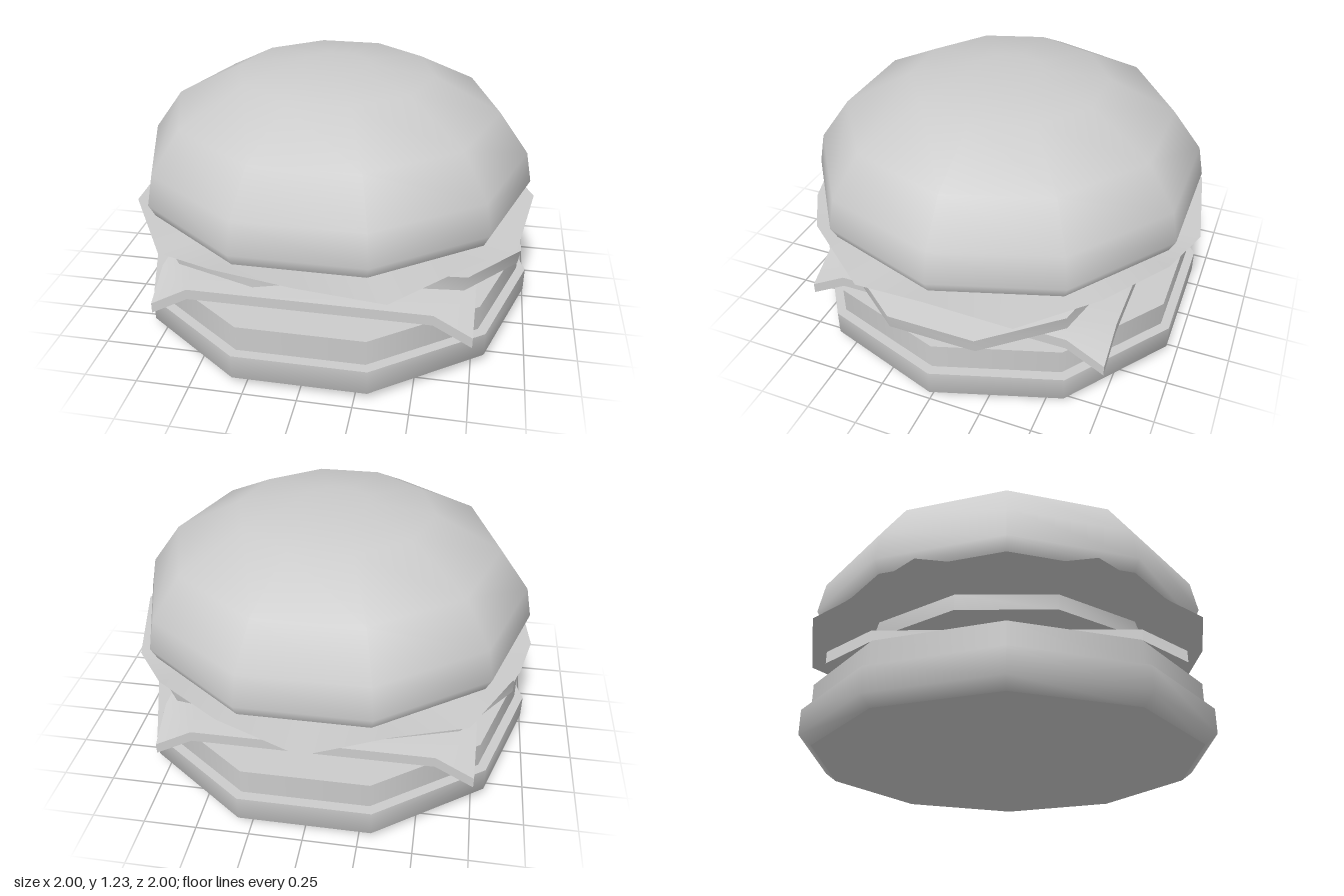
import * as THREE from 'three';
import { mergeGeometries, toCreasedNormals } from 'three/addons/utils/BufferGeometryUtils.js';

const grey = new THREE.MeshStandardMaterial({ color: 0xcccccc });
const greyThin = new THREE.MeshStandardMaterial({ color: 0xcccccc, side: THREE.DoubleSide });

function part(name, geometry, material = grey) {
  const mesh = new THREE.Mesh(geometry, material);
  mesh.name = name;
  return mesh;
}

// Ten-sided turned solid; each profile is smooth in itself, with a hard edge between profiles
function turned(profiles, start = Math.PI / 2) {
  return mergeGeometries(profiles.map((profile) =>
    new THREE.LatheGeometry(profile.map(([r, y]) => new THREE.Vector2(r, y)), 10, start)));
}

function slab(side, start) {
  const first = side[0], last = side[side.length - 1];
  return turned([[[0, first[1]], first], side, [last, [0, last[1]]]], start);
}

// Tomato slice with flat edges to the left and right; optionally bent down past its middle
function tomato(x, y, height, bend) {
  const geo = slab([[0.685, -height], [0.685, 0]], 0);
  const pos = geo.attributes.position;
  for (let i = 0; i < pos.count; i++) {
    const px = pos.getX(i), py = pos.getY(i);
    if (px > 0.01) {
      pos.setX(i, px * Math.cos(bend) + py * Math.sin(bend));
      pos.setY(i, py * Math.cos(bend) - px * Math.sin(bend));
    }
  }
  return toCreasedNormals(geo.translate(x, y, 0), 0.7);
}

function extrudeUp(points, y, height) {
  const shape = new THREE.Shape(points.map(([x, z]) => new THREE.Vector2(x, z)));
  return new THREE.ExtrudeGeometry(shape, { depth: height, bevelEnabled: false })
    .rotateX(-Math.PI / 2).translate(0, y, 0);
}

// Square cheese slice: a flat middle and four corners folded down
function cheese() {
  const a = 0.75, b = 0.57, y = 0.302, h = 0.052;
  const pieces = [extrudeUp([[a, -b], [a, b], [b, a], [-b, a], [-a, b], [-a, -b], [-b, -a], [b, -a]], y, h)];
  for (const sx of [-1, 1]) {
    for (const sz of [-1, 1]) {
      const corner = extrudeUp([[sx * a, sz * b], [sx * a, sz * a], [sx * b, sz * a]], y, h);
      const pos = corner.attributes.position;
      for (let i = 0; i < pos.count; i++) {
        if (Math.abs(pos.getX(i)) + Math.abs(pos.getZ(i)) > 1.4) pos.setY(i, pos.getY(i) - 0.1);
      }
      pieces.push(corner);
    }
  }
  return toCreasedNormals(mergeGeometries(pieces), 0.7);
}

// Thin leaf with a zigzag rim
function lettuce() {
  const raised = [0, 2, 4, 5, 7, 9, 11, 13, 14];
  const positions = [0, 0.515, 0], index = [];
  for (let k = 0; k < 16; k++) {
    const angle = (k * Math.PI) / 8;
    positions.push(Math.cos(angle), raised.includes(k) ? 0.6 : 0.512, Math.sin(angle));
    index.push(0, ((k + 1) % 16) + 1, k + 1);
  }
  const geo = new THREE.BufferGeometry();
  geo.setAttribute('position', new THREE.Float32BufferAttribute(positions, 3));
  geo.setIndex(index);
  geo.computeVertexNormals();
  return geo;
}

export function createModel() {
  const model = new THREE.Group();
  model.name = 'burger';
  model.add(
    part('bottomBun', slab([[0.94, 0], [1, 0.045], [1, 0.165]])),
    part('patty', slab([[0.955, 0.17], [0.955, 0.295]])),
    part('cheese', cheese()),
    part('lowerTomato', tomato(-0.27, 0.43, 0.07, 0)),
    part('upperTomato', tomato(0.31, 0.507, 0.072, 0.16)),
    part('lettuce', lettuce(), greyThin),
    part('topBun', turned([
      [[0, 0.62], [0.945, 0.62]],
      [[0.945, 0.62], [0.975, 0.68], [0.945, 0.83], [0.8, 1.03], [0.48, 1.195], [0.17, 1.23], [0, 1.23]],
    ])),
  );
  return model;
}
